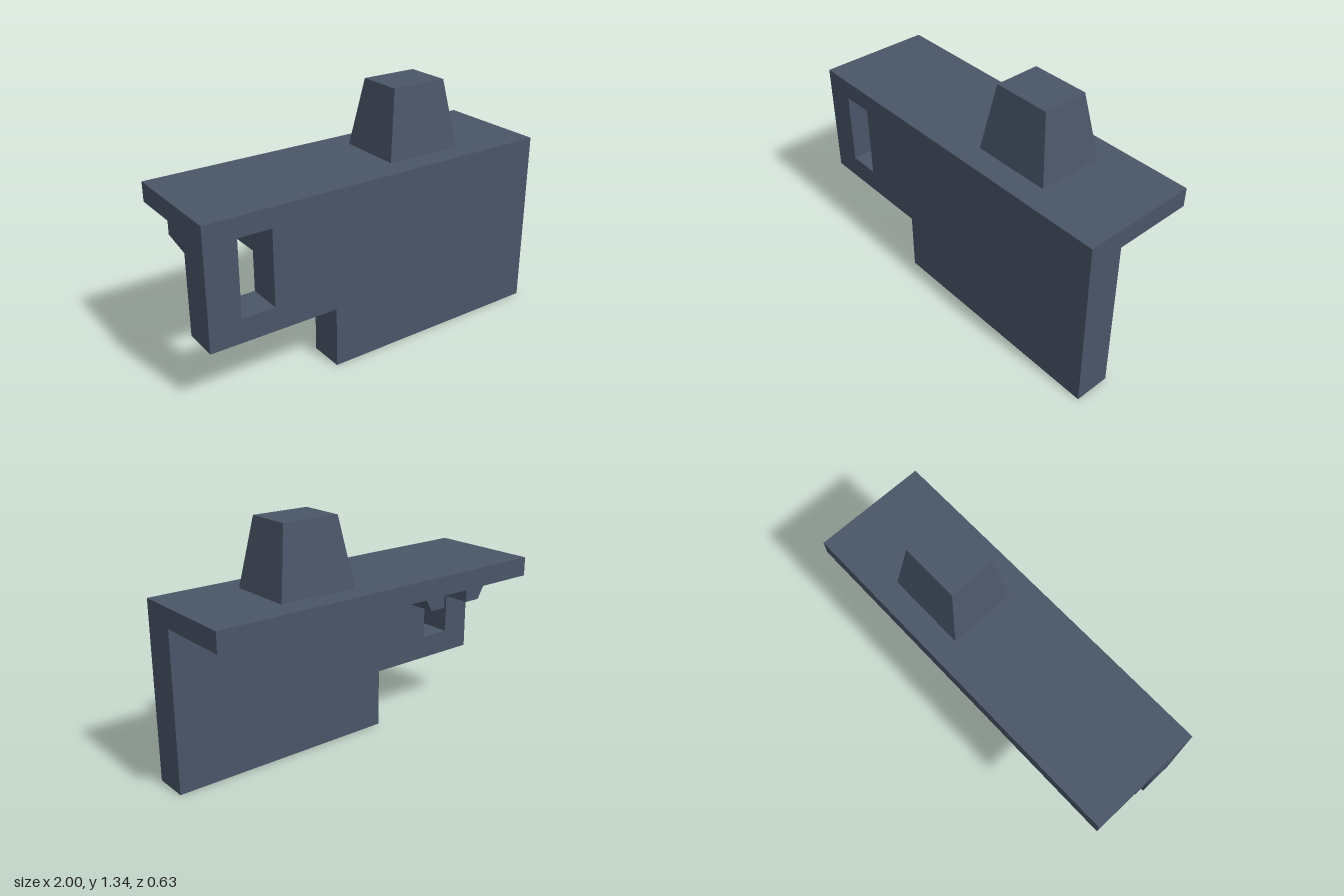
import * as THREE from 'three';

export function createModel() {
  const model = new THREE.Group();
  model.name = 'bracket';
  const slate = new THREE.MeshStandardMaterial({ color: 0x4a5568 });
  slate.name = 'slate';

  const add = (name, geometry) => {
    const mesh = new THREE.Mesh(geometry, slate);
    mesh.name = name;
    model.add(mesh);
    return mesh;
  };
  const path = (points, Type = THREE.Shape) =>
    new Type(points.map(([x, y]) => new THREE.Vector2(x, y)));
  const extrude = (shape, zBack, zFront) =>
    new THREE.ExtrudeGeometry(shape, { depth: zFront - zBack, bevelEnabled: false })
      .translate(0, 0, zBack);

  const top = 0.975, under = 0.87, plateBack = 0.12, half = 0.315;

  // Upright front plate, notched at the bottom and pierced by a slot
  const outline = path([[-1, 0.33], [-0.3, 0.33], [-0.3, 0], [1, 0], [1, top], [-1, top]]);
  outline.holes.push(path([[-0.83, 0.46], [-0.83, under], [-0.65, under], [-0.65, 0.46]], THREE.Path));
  add('frontPlate', extrude(outline, plateBack, half));

  // Shelf reaching back from the top of the plate
  add('shelf', new THREE.BoxGeometry(2, top - under, half + plateBack))
    .position.set(0, (top + under) / 2, (plateBack - half) / 2);

  // Sloped lugs under the shelf on both sides of the slot
  add('innerLug', extrude(path([[-0.65, 0.68], [-0.55, 0.68], [-0.44, under], [-0.65, under]]), -0.04, plateBack));
  add('outerLug', extrude(path([[-0.93, 0.68], [-0.83, 0.68], [-0.83, under], [-1, under], [-1, 0.8]]), -0.04, plateBack));

  // Tapered block on the shelf: a box with its upper corners drawn in
  const block = new THREE.BoxGeometry(0.44, 1.34 - top, 0.365).toNonIndexed();
  const p = block.attributes.position;
  for (let i = 0; i < p.count; i++) {
    if (p.getY(i) > 0) {
      p.setX(i, Math.sign(p.getX(i)) * 0.16);
      p.setZ(i, Math.sign(p.getZ(i)) * 0.125);
    }
  }
  block.computeVertexNormals();
  add('taperedBlock', block).position.set(0.35, (1.34 + top) / 2, 0);

  return model;
}
